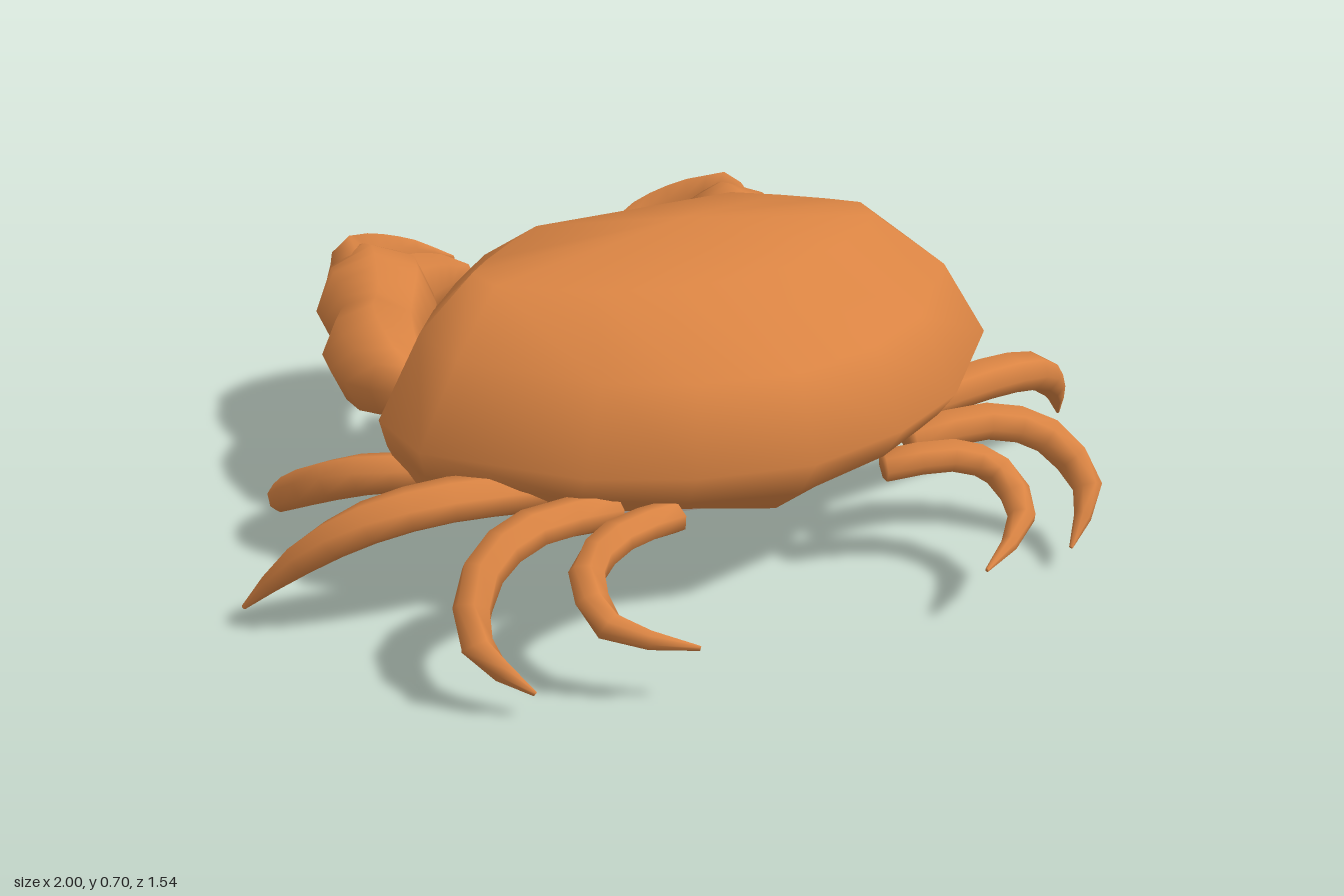
import * as THREE from 'three';

const V = (x, y, z) => new THREE.Vector3(x, y, z);
const orange = new THREE.MeshStandardMaterial({ color: 0xda8443 });
const dark = new THREE.MeshStandardMaterial({ color: 0x5c3826 });
const pale = new THREE.MeshStandardMaterial({ color: 0xfff2e4 });

// Skin closed rings of points; optional single points close the ends.
function loft(rings, capStart, capEnd) {
  const n = rings[0].length, pts = rings.flat(), index = [];
  for (let i = 0; i < rings.length - 1; i++) {
    for (let j = 0; j < n; j++) {
      const k = (j + 1) % n, a = i * n + j, b = i * n + k;
      index.push(a, b, a + n, b, b + n, a + n);
    }
  }
  const last = (rings.length - 1) * n;
  for (const [cap, base, start] of [[capStart, 0, true], [capEnd, last, false]]) {
    if (!cap) continue;
    const c = pts.push(cap) - 1;
    for (let j = 0; j < n; j++) {
      const a = base + j, b = base + (j + 1) % n;
      if (start) index.push(c, b, a);
      else index.push(c, a, b);
    }
  }
  const geo = new THREE.BufferGeometry().setFromPoints(pts);
  geo.setIndex(index);
  geo.computeVertexNormals();
  return geo;
}

// Curved, tapered limb through stations [x, y, z, half width, half height].
function limb(stations, side, sides) {
  const path = new THREE.CatmullRomCurve3(stations.map(([x, y, z]) => V(x * side, y, z)));
  const size = new THREE.CatmullRomCurve3(stations.map(([, , , w, h]) => V(w, h, 0)));
  const steps = (stations.length - 1) * 2;
  const rings = Array.from({ length: steps + 1 }, (_, i) => {
    const t = i / steps, c = path.getPoint(t), s = size.getPoint(t);
    const dir = path.getTangent(t);
    const across = dir.clone().cross(V(0, 1, 0)).normalize();
    const up = across.clone().cross(dir);
    return Array.from({ length: sides }, (_, j) => {
      const a = (j / sides) * Math.PI * 2;
      return c.clone().addScaledVector(across, Math.cos(a) * s.x)
        .addScaledVector(up, -Math.sin(a) * s.y);
    });
  });
  return loft(rings, path.getPoint(0), path.getPoint(1));
}

// Half outline of the shell seen from above, front centre to tail.
const outline = [[0, -0.32], [0.35, -0.32], [0.48, -0.19], [0.6, -0.05], [0.68, 0.06],
  [0.66, 0.235], [0.42, 0.48], [0.23, 0.575], [0, 0.625]];

// One ring: width scale, front z, back z, height (or one height per outline point).
function shellRing([sx, z0, z1, heights]) {
  const half = outline.map(([x, z], i) => {
    const t = (z + 0.32) / 0.945;
    const y = Array.isArray(heights) ? heights[i] : heights;
    return V(x * sx, y, z0 + (z1 - z0) * t);
  });
  const other = half.slice(1, -1).reverse().map((p) => V(-p.x, p.y, p.z));
  return [...half, ...other];
}

const rim = [0.91, -0.29, 0.48, [0.4, 0.4, 0.29, 0.235, 0.22, 0.22, 0.24, 0.245, 0.215]];
const shellRings = [
  [0.67, -0.15, 0.31, 0.648],
  [0.855, -0.29, 0.56, 0.545],
  [1, -0.32, 0.63, [0.44, 0.44, 0.41, 0.39, 0.38, 0.38, 0.38, 0.38, 0.38]],
  [0.97, -0.31, 0.57, [0.42, 0.42, 0.36, 0.32, 0.31, 0.31, 0.31, 0.3, 0.29]],
  rim,
];
const bellyRings = [
  rim,
  [0.74, -0.16, 0.42, [0.26, 0.26, 0.225, 0.2, 0.187, 0.187, 0.2, 0.205, 0.205]],
  [0.45, -0.03, 0.28, 0.183],
];

// Walking legs, front pair to rear pair.
const legs = [
  [[0.58, 0.245, 0.07, 0.04, 0.04], [0.7, 0.23, -0.01, 0.042, 0.045], [0.785, 0.172, -0.12, 0.035, 0.042],
    [0.815, 0.1, -0.23, 0.026, 0.032], [0.78, 0.008, -0.375, 0.004, 0.005]],
  [[0.44, 0.28, 0.31, 0.05, 0.042], [0.62, 0.295, 0.295, 0.056, 0.044], [0.78, 0.265, 0.255, 0.048, 0.044],
    [0.9, 0.18, 0.185, 0.032, 0.033], [0.995, 0.05, 0.095, 0.004, 0.005]],
  [[0.34, 0.275, 0.44, 0.043, 0.038], [0.52, 0.285, 0.455, 0.048, 0.038], [0.645, 0.245, 0.505, 0.043, 0.039],
    [0.695, 0.15, 0.59, 0.032, 0.034], [0.61, 0.06, 0.66, 0.004, 0.005]],
  [[0.24, 0.265, 0.5, 0.038, 0.033], [0.38, 0.275, 0.54, 0.041, 0.033], [0.465, 0.24, 0.585, 0.037, 0.033],
    [0.465, 0.175, 0.675, 0.029, 0.03], [0.32, 0.135, 0.765, 0.004, 0.005]],
];

// Claw parts: arm flowing into the palm, and the two curved pincers.
const claw = {
  armAndPalm: [[0.56, 0.36, -0.09, 0.035, 0.05], [0.57, 0.355, -0.19, 0.095, 0.098],
    [0.55, 0.355, -0.32, 0.115, 0.11], [0.505, 0.355, -0.41, 0.102, 0.1],
    [0.48, 0.36, -0.49, 0.125, 0.125], [0.46, 0.36, -0.57, 0.138, 0.14],
    [0.47, 0.36, -0.66, 0.09, 0.11]],
  outerPincer: [[0.51, 0.36, -0.6, 0.05, 0.125], [0.46, 0.36, -0.685, 0.05, 0.125],
    [0.375, 0.36, -0.737, 0.032, 0.095], [0.29, 0.36, -0.753, 0.02, 0.06],
    [0.2, 0.36, -0.735, 0.004, 0.01]],
  innerPincer: [[0.43, 0.355, -0.56, 0.07, 0.11], [0.34, 0.35, -0.62, 0.052, 0.09],
    [0.26, 0.345, -0.66, 0.035, 0.065], [0.19, 0.345, -0.668, 0.014, 0.025]],
};

export function createModel() {
  const model = new THREE.Group();
  const add = (name, geometry, material, parent = model) => {
    const mesh = new THREE.Mesh(geometry, material);
    mesh.name = name;
    parent.add(mesh);
    return mesh;
  };

  // Domed shell and pale underside
  add('shell', loft(shellRings.map(shellRing), V(0, 0.705, 0.08), null), orange);
  add('belly', loft(bellyRings.map(shellRing), null, V(0, 0.18, 0.08)), pale);

  for (const [side, label] of [[1, 'left'], [-1, 'right']]) {
    legs.forEach((stations, i) => add(`${label}Leg${i + 1}`, limb(stations, side, 7), orange));

    const clawGroup = new THREE.Group();
    clawGroup.name = `${label}Claw`;
    for (const [part, stations] of Object.entries(claw)) {
      add(part, limb(stations, side, 8), orange, clawGroup);
    }
    model.add(clawGroup);

    // Small bead eye on the front edge
    const eye = add(`${label}Eye`, new THREE.SphereGeometry(0.043, 6, 4), dark);
    eye.rotation.x = Math.PI / 2;
    eye.position.set(side * 0.185, 0.52, -0.305);
  }
  return model;
}
